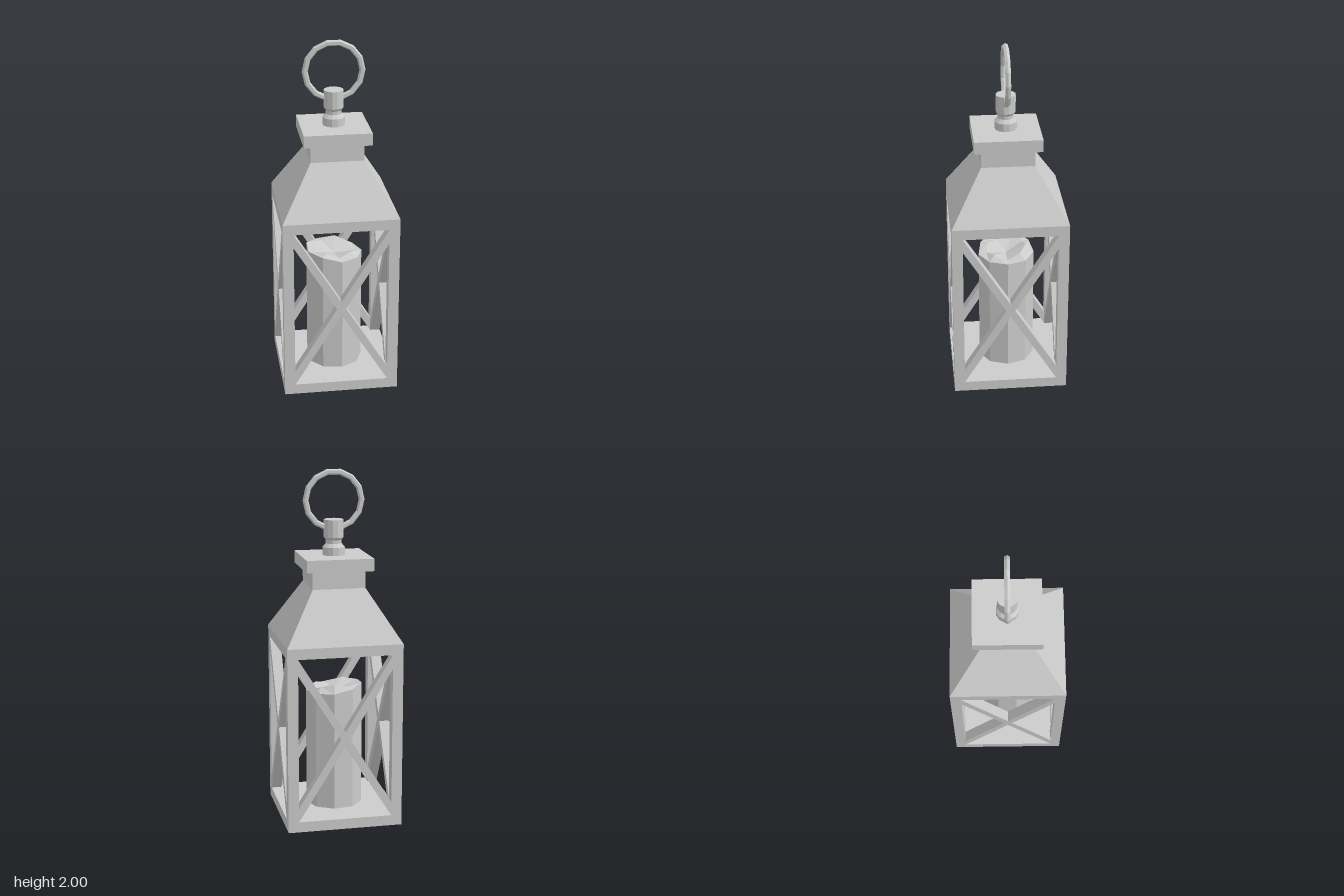
import * as THREE from 'three';

const material = new THREE.MeshStandardMaterial({ color: 0xcccccc, flatShading: true });

function addMesh(parent, name, geometry) {
  const mesh = new THREE.Mesh(geometry, material);
  mesh.name = name;
  parent.add(mesh);
  return mesh;
}

// Faceted turned form from [radius, y] pairs, listed bottom to top
function turned(profile, sides, phiStart) {
  const points = profile.map(([r, y]) => new THREE.Vector2(r, y));
  return new THREE.LatheGeometry(points, sides, phiStart);
}

// Same, but square in plan, from [half width, y] pairs
function square(profile) {
  return turned(profile.map(([h, y]) => [h * Math.SQRT2, y]), 4, Math.PI / 4);
}

export function createModel() {
  const lantern = new THREE.Group();
  lantern.name = 'lantern';

  const half = 0.327, post = 0.06, inner = half - post;
  const floorY = 0.06, roofY = 1.0;

  // Base and roof
  addMesh(lantern, 'base', square([[0, 0], [half, 0], [half, floorY], [0, floorY]]));
  addMesh(lantern, 'roof', square([
    [0, roofY], [half, roofY], [half, 1.06], [0.15, 1.35], [0.15, 1.45], [0, 1.45],
  ]));
  addMesh(lantern, 'roofCap', square([[0, 1.45], [0.19, 1.45], [0.19, 1.52], [0, 1.52]]));

  // Corner posts
  const postGeometry = new THREE.BoxGeometry(post, roofY - floorY, post);
  for (const sx of [-1, 1]) {
    for (const sz of [-1, 1]) {
      addMesh(lantern, 'cornerPost', postGeometry)
        .position.set(sx * (half - post / 2), (roofY + floorY) / 2, sz * (half - post / 2));
    }
  }

  // Crossed braces, one X per side, flush with the posts
  const midY = (roofY + floorY) / 2, b = 0.08;
  const cross = new THREE.Shape([
    [-inner, roofY], [-inner, roofY - b], [-0.025, midY], [-inner, floorY + b],
    [-inner, floorY], [0, midY - b / 2], [inner, floorY], [inner, floorY + b],
    [0.025, midY], [inner, roofY - b], [inner, roofY], [0, midY + b / 2],
  ].map(([x, y]) => new THREE.Vector2(x, y)));
  const crossGeometry = new THREE.ExtrudeGeometry(cross, { depth: post, bevelEnabled: false });
  crossGeometry.translate(0, 0, inner);
  for (let i = 0; i < 4; i++) {
    addMesh(lantern, 'crossBrace', crossGeometry).rotation.y = i * Math.PI / 2;
  }

  // Nine-sided candle with an uneven melted rim
  const sides = 9;
  const candle = turned(
    [[0, floorY], [0.163, floorY], [0.163, 0.74], [0.115, 0.76], [0, 0.73]],
    sides, THREE.MathUtils.degToRad(10));
  const rimY = [0.74, 0.74, 0.74, 0.74, 0.745, 0.765, 0.78, 0.77, 0.765];
  const lipY = [0.745, 0.765, 0.74, 0.77, 0.79, 0.77, 0.765, 0.76, 0.77];
  const position = candle.attributes.position;
  for (let i = 0; i <= sides; i++) {
    position.setY(i * 5 + 2, rimY[i % sides]);
    position.setY(i * 5 + 3, lipY[i % sides]);
  }
  addMesh(lantern, 'candle', candle);

  // Finial and carrying ring
  addMesh(lantern, 'finial', turned([
    [0, 1.52], [0.063, 1.52], [0.063, 1.565], [0.045, 1.585], [0.045, 1.605],
    [0.056, 1.62], [0.056, 1.72], [0, 1.72],
  ], 12, Math.PI / 12));
  addMesh(lantern, 'carryingRing', new THREE.TorusGeometry(0.16, 0.017, 6, 14))
    .position.y = 1.827;

  return lantern;
}
